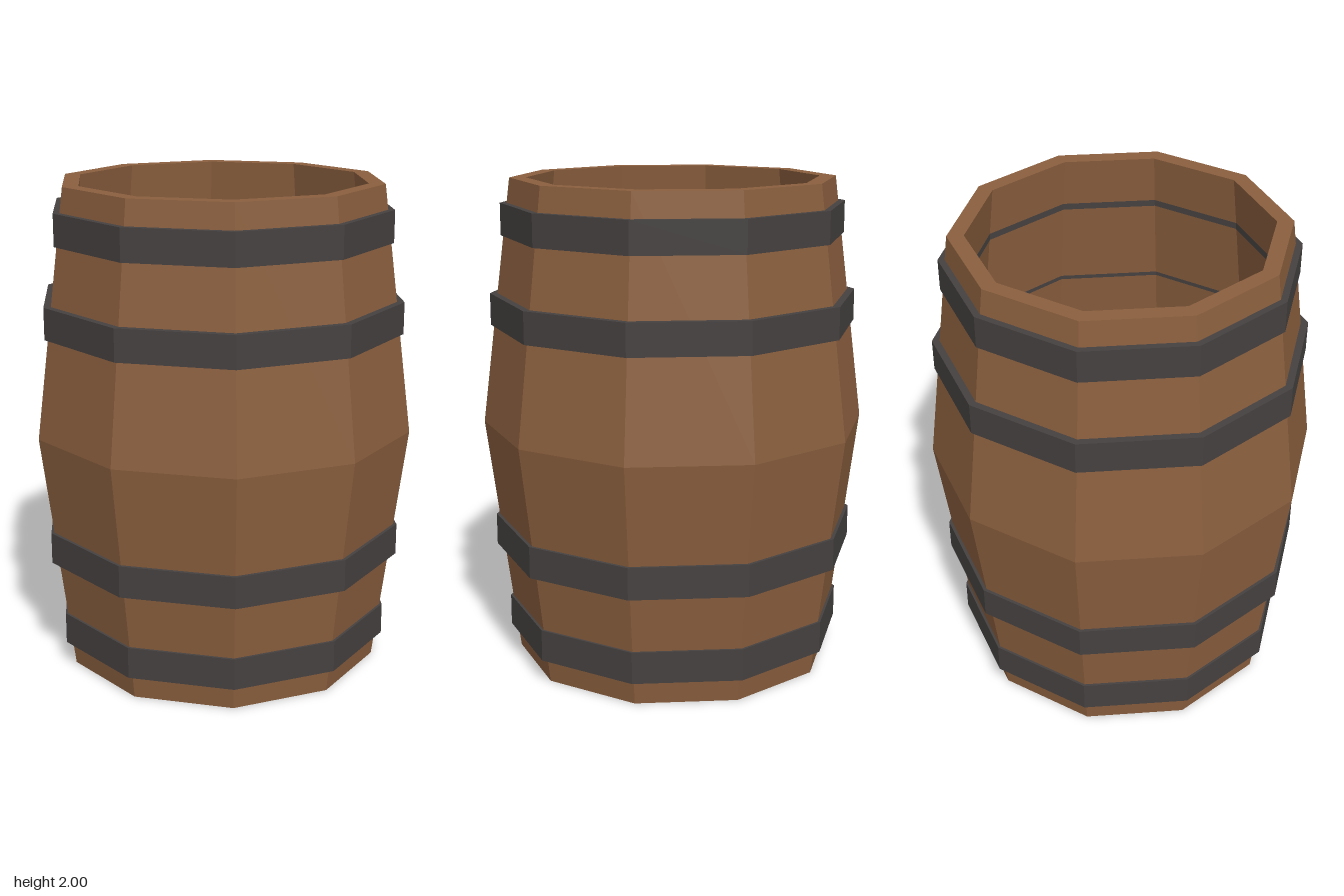
import * as THREE from 'three';

const SIDES = 10;

// Faceted ten-sided ring or vessel from a profile of [radius, y] points
function facetedLathe(profile, material, name) {
  const points = profile.map(([r, y]) => new THREE.Vector2(r, y));
  const geometry = new THREE.LatheGeometry(points, SIDES, Math.PI / 2).toNonIndexed();
  geometry.computeVertexNormals(); // one normal per facet
  const mesh = new THREE.Mesh(geometry, material);
  mesh.name = name;
  return mesh;
}

export function createModel() {
  const wood = new THREE.MeshStandardMaterial({ color: 0x8b5f3e });
  wood.name = 'wood';
  const iron = new THREE.MeshStandardMaterial({ color: 0x464141 });
  iron.name = 'dark iron';

  const barrel = new THREE.Group();
  barrel.name = 'barrel';

  // Open-topped staves: underside, bulging outside, rim, inside wall, floor
  barrel.add(facetedLathe([
    [0, 0], [0.66, 0], [0.788, 1], [0.66, 2],
    [0.594, 2], [0.722, 1], [0.6, 0.06], [0, 0.06],
  ], wood, 'staves'));

  // Straight-sided hoops, mirrored about the middle of the barrel
  const hoops = [
    { y: 0.165, outer: 0.70, inner: 0.62, name: 'Outer' },
    { y: 0.53, outer: 0.75, inner: 0.668, name: 'Inner' },
  ];
  const half = 0.065;
  for (const { y, outer, inner, name } of hoops) {
    for (const [end, cy] of [['lower', y], ['upper', 2 - y]]) {
      barrel.add(facetedLathe([
        [inner, cy - half], [outer, cy - half], [outer, cy + half],
        [inner, cy + half], [inner, cy - half],
      ], iron, `${end}${name}Hoop`));
    }
  }
  return barrel;
}
